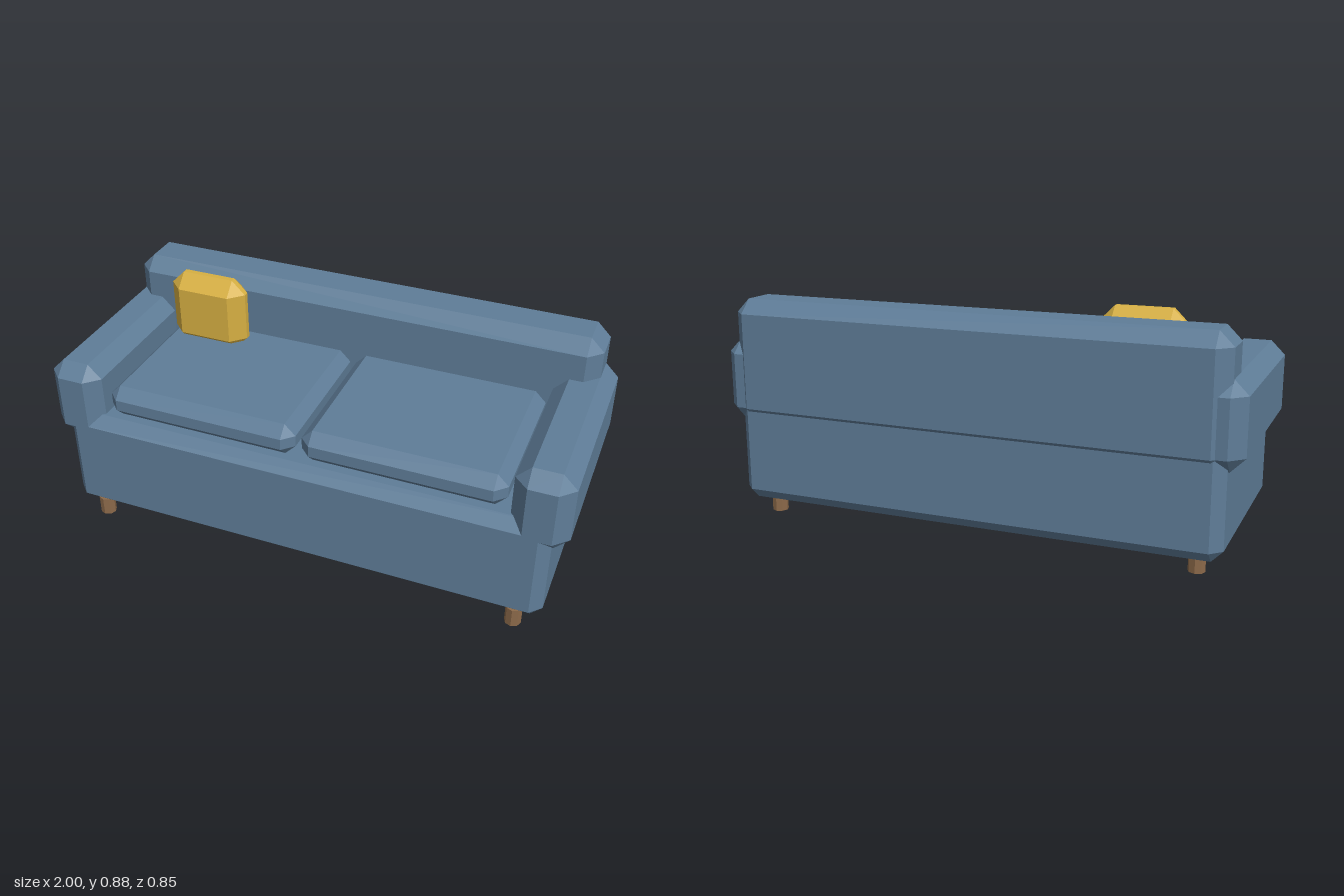
import * as THREE from 'three';
import { ConvexGeometry } from 'three/addons/geometries/ConvexGeometry.js';

const mat = (name, color) => {
  const m = new THREE.MeshStandardMaterial({ color });
  m.name = name;
  return m;
};

// Box between two corners with every edge cut at 45 degrees
function chamferedBox(min, max, c) {
  const centre = min.map((v, i) => (v + max[i]) / 2);
  const half = max.map((v, i) => (v - min[i]) / 2);
  const points = [];
  for (const sx of [-1, 1]) for (const sy of [-1, 1]) for (const sz of [-1, 1]) {
    const s = [sx, sy, sz];
    // each corner becomes three points, one on each neighbouring face
    for (let face = 0; face < 3; face++) {
      points.push(new THREE.Vector3(...s.map((v, i) => v * (half[i] - (i === face ? 0 : c)))));
    }
  }
  return new ConvexGeometry(points).translate(...centre);
}

export function createModel() {
  const sofa = new THREE.Group();
  sofa.name = 'sofa';
  const fabric = mat('blue fabric', 0x5f7d98);
  const gold = mat('gold fabric', 0xd6af42);
  const wood = mat('brown wood', 0x8c6a4a);
  fabric.flatShading = gold.flatShading = wood.flatShading = true;

  const add = (name, geometry, material) => {
    const mesh = new THREE.Mesh(geometry, material);
    mesh.name = name;
    sofa.add(mesh);
    return mesh;
  };

  // Body
  add('base', chamferedBox([-0.943, 0.065, -0.414], [0.943, 0.487, 0.426], 0.042), fabric);
  add('backrest', chamferedBox([-0.948, 0.38, -0.426], [0.948, 0.853, -0.195], 0.053), fabric);

  // Mirrored arms, seat cushions and legs
  for (const [side, s] of [['left', 1], ['right', -1]]) {
    const span = (a, b) => (s > 0 ? [a, b] : [-b, -a]);
    const [a0, a1] = span(0.79, 1);
    add(side + 'Arm', chamferedBox([a0, 0.38, -0.414], [a1, 0.695, 0.426], 0.053), fabric);
    const [c0, c1] = span(0.012, 0.77);
    add(side + 'SeatCushion', chamferedBox([c0, 0.487, -0.25], [c1, 0.615, 0.39], 0.042), fabric);
    for (const [end, z] of [['Front', 0.375], ['Back', -0.31]]) {
      const leg = add(side + end + 'Leg', new THREE.CylinderGeometry(0.031, 0.031, 0.075, 8), wood);
      leg.position.set(s * 0.842, 0.0375, z);
    }
  }

  // Throw pillow leaning on the backrest
  add('pillow', chamferedBox([-0.74, 0.577, -0.195], [-0.425, 0.876, -0.067], 0.053), gold);

  return sofa;
}
